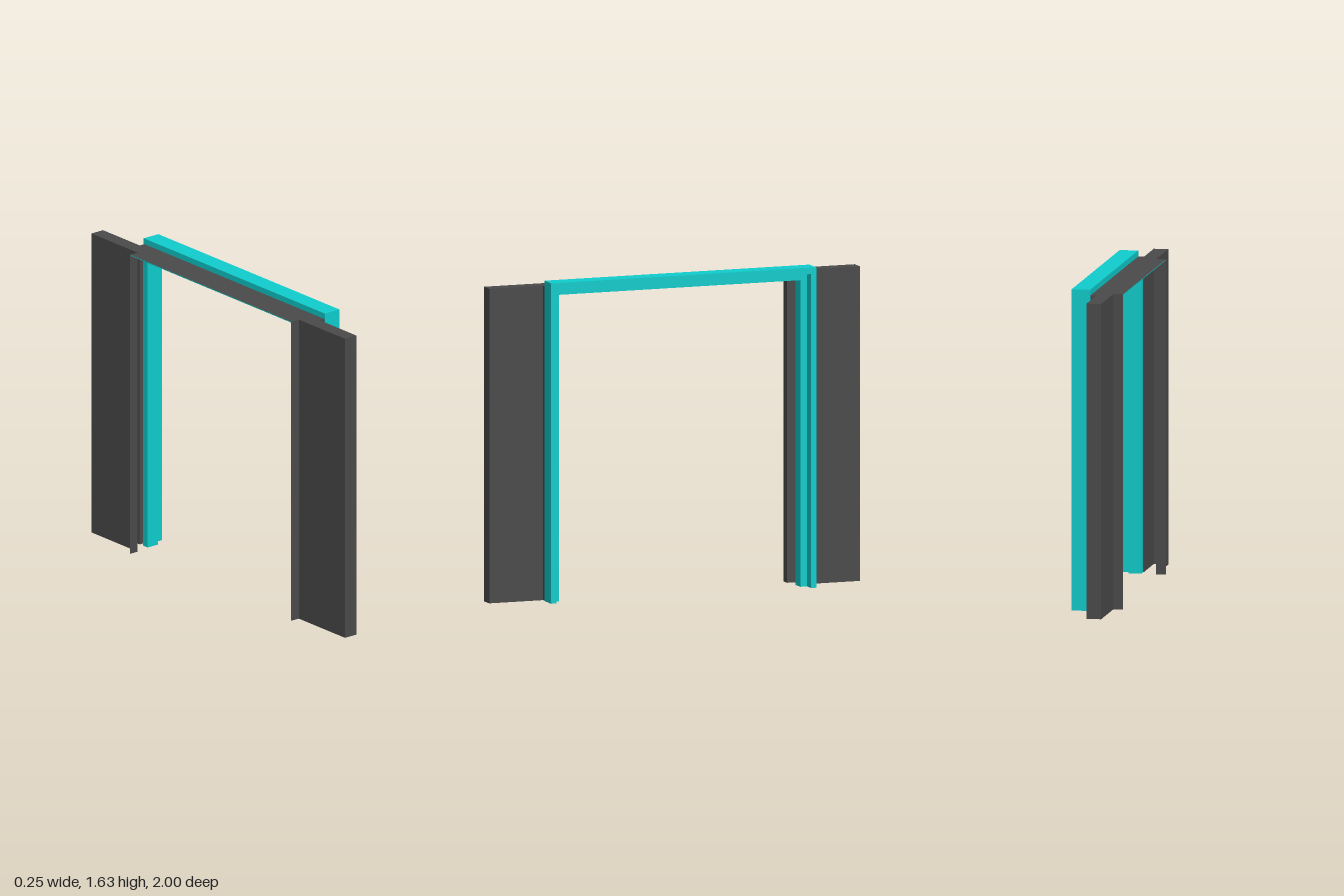
import * as THREE from 'three';

const charcoal = new THREE.MeshStandardMaterial({ color: 0x4a4a4a, side: THREE.DoubleSide });
charcoal.name = 'charcoal';
const teal = new THREE.MeshStandardMaterial({ color: 0x10cccc });
teal.name = 'teal';

const HEIGHT = 1.6;

function part(name, geometry, material) {
  const mesh = new THREE.Mesh(geometry, material);
  mesh.name = name;
  return mesh;
}

// Upright folded sheet following a path of [x, z] points
function foldedSheet(path, height) {
  const pos = [];
  for (let i = 0; i < path.length - 1; i++) {
    const [ax, az] = path[i], [bx, bz] = path[i + 1];
    pos.push(ax, 0, az, bx, 0, bz, bx, height, bz);
    pos.push(ax, 0, az, bx, height, bz, ax, height, az);
  }
  const g = new THREE.BufferGeometry();
  g.setAttribute('position', new THREE.Float32BufferAttribute(pos, 3));
  g.computeVertexNormals();
  return g;
}

// Portal-shaped solid, open at the floor, running from x0 to x1
function portal(x0, x1, outerHalf, outerTop, innerHalf, innerTop) {
  const s = new THREE.Shape([
    [-outerHalf, 0], [-innerHalf, 0], [-innerHalf, innerTop], [innerHalf, innerTop],
    [innerHalf, 0], [outerHalf, 0], [outerHalf, outerTop], [-outerHalf, outerTop],
  ].map(([a, b]) => new THREE.Vector2(a, b)));
  const g = new THREE.ExtrudeGeometry(s, { depth: x1 - x0, bevelEnabled: false });
  g.rotateY(Math.PI / 2);
  g.translate(x0, 0, 0);
  return g;
}

export function createModel() {
  const model = new THREE.Group();
  model.name = 'doorFrame';

  // Folded side panels: rear flange, back, end, front and return
  const profile = [[-0.125, 0.635], [-0.075, 0.635], [-0.075, 1], [0, 1], [0, 0.71], [0.03, 0.71]];
  for (const side of [1, -1]) {
    const path = profile.map(([x, z]) => [x, z * side]);
    if (side > 0) path.reverse();
    model.add(part(side > 0 ? 'frontSidePanel' : 'backSidePanel', foldedSheet(path, HEIGHT), charcoal));
  }

  // Top sheet joining both panels, same outline mirrored
  const outline = [
    ...profile.map(([x, z]) => new THREE.Vector2(x, z)),
    ...profile.slice().reverse().map(([x, z]) => new THREE.Vector2(x, -z)),
  ];
  const top = new THREE.ShapeGeometry(new THREE.Shape(outline));
  top.rotateX(-Math.PI / 2);
  top.translate(0, HEIGHT, 0);
  model.add(part('topSheet', top, charcoal));

  // Painted underside of the lintel
  const soffit = new THREE.BoxGeometry(0.123, 0.004, 1.265);
  soffit.translate(-0.0625, HEIGHT - 0.003, 0);
  model.add(part('lintelSoffit', soffit, teal));

  // Stepped trim: projecting outer lip and recessed inner band
  model.add(part('trimOuterLip', portal(0.03, 0.125, 0.715, 1.63, 0.687, 1.597), teal));
  model.add(part('trimInnerBand', portal(0.002, 0.07, 0.688, 1.598, 0.65, 1.56), teal));

  return model;
}
